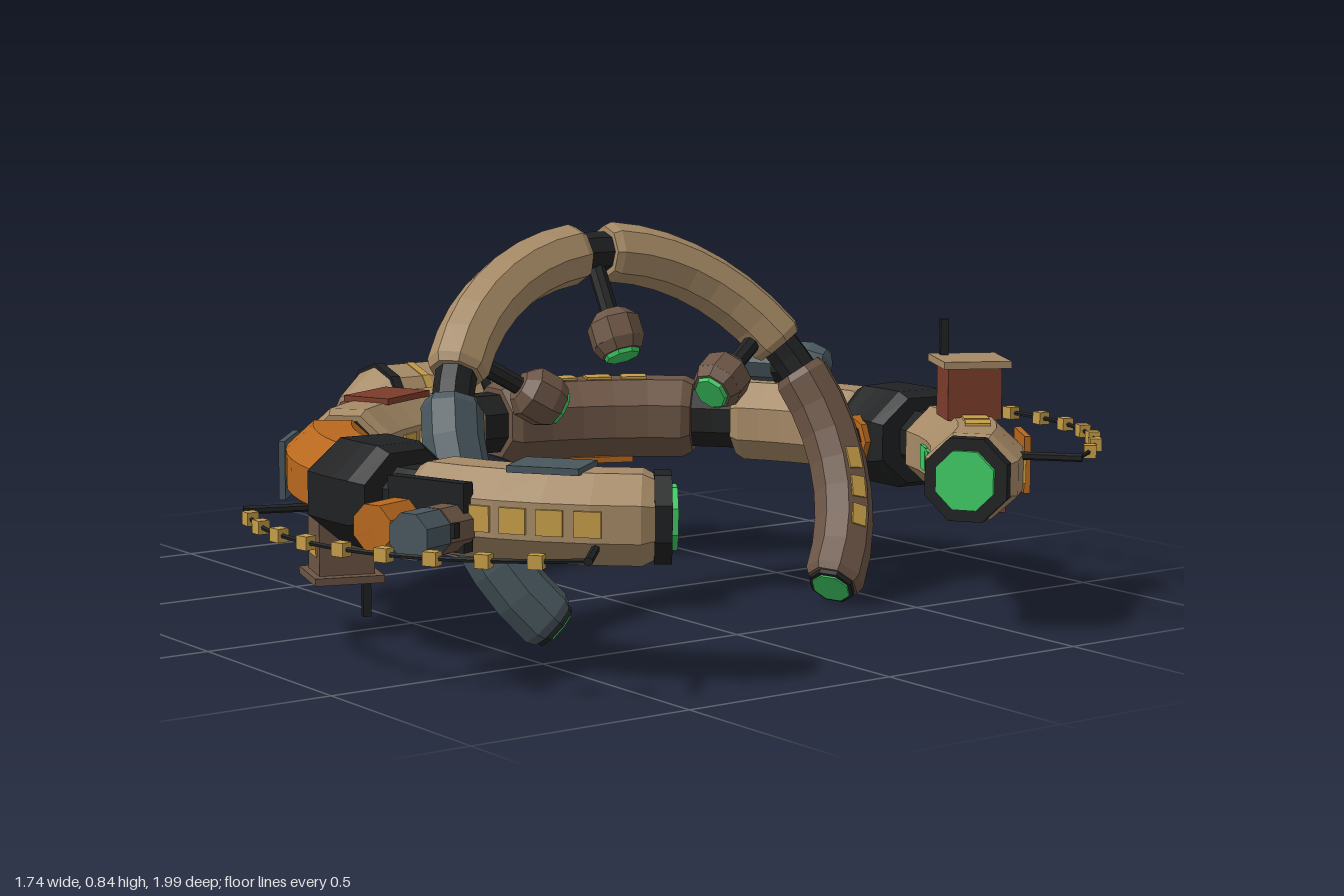
import * as THREE from 'three';

const mat = (name, color) => {
  const m = new THREE.MeshStandardMaterial({ color, flatShading: true });
  m.name = name;
  return m;
};
const tan = mat('tan', 0xa68a66), brown = mat('brown', 0x6c5545), orange = mat('orange', 0xb8681e);
const black = mat('black', 0x202122), slate = mat('slate', 0x48575e), rust = mat('rust', 0x7c3c2b);
const gold = mat('gold', 0xc69d48), green = mat('green', 0x3ecb64);

const rad = THREE.MathUtils.degToRad;
const polar = (deg, r, h = 0) => new THREE.Vector3(r * Math.cos(rad(deg)), r * Math.sin(rad(deg)), h);

function add(parent, name, geo, material, x = 0, y = 0, z = 0) {
  const m = new THREE.Mesh(geo, material);
  m.name = name;
  m.position.set(x, y, z);
  parent.add(m);
  return m;
}
const box = (x, y, z) => new THREE.BoxGeometry(x, y, z);

// Frame at an angle on a ring: local x is outward, y runs along the ring, z is the ring's normal
function sector(parent, name, deg) {
  const g = new THREE.Group();
  g.name = name;
  g.rotation.z = rad(deg);
  parent.add(g);
  return g;
}
const place = (parent, name, deg, r, h, geo, material) =>
  add(sector(parent, name + 'Mount', deg), name, geo, material, r, 0, h);

// Straight rod between two points
function rod(parent, name, a, b, r, material) {
  const m = add(parent, name, new THREE.CylinderGeometry(r, r, a.distanceTo(b), 6), material);
  m.position.copy(a).lerp(b, 0.5);
  m.quaternion.setFromUnitVectors(new THREE.Vector3(0, 1, 0), b.clone().sub(a).normalize());
}

// Curved eight-sided hull section with slightly tapered ends
function arc(R, a0, a1, rr, rn, taper = 0.87, bevel = 2, steps = 5) {
  const stations = [[a0, taper]];
  for (let i = 0; i <= steps; i++) stations.push([a0 + bevel + (a1 - a0 - 2 * bevel) * i / steps, 1]);
  stations.push([a1, taper]);
  const pts = stations.map(([a, s]) => Array.from({ length: 8 }, (_, k) => {
    const p = rad((k + 0.5) * 45), c = s / Math.cos(Math.PI / 8);
    return polar(a, R + rr * c * Math.cos(p), rn * c * Math.sin(p));
  }));
  const out = [], tri = (...v) => v.forEach(p => out.push(p.x, p.y, p.z));
  const last = pts.length - 1;
  for (let k = 0; k < 8; k++) {
    const n = (k + 1) % 8;
    for (let i = 0; i < last; i++) {
      tri(pts[i][k], pts[i + 1][k], pts[i + 1][n]);
      tri(pts[i][k], pts[i + 1][n], pts[i][n]);
    }
    tri(polar(a0, R), pts[0][k], pts[0][n]);
    tri(polar(a1, R), pts[last][n], pts[last][k]);
  }
  const g = new THREE.BufferGeometry();
  g.setAttribute('position', new THREE.Float32BufferAttribute(out, 3));
  g.computeVertexNormals();
  return g;
}

// Eight-sided disc facing along the ring
const disc = (r, t) => new THREE.CylinderGeometry(r, r, t, 8).rotateY(Math.PI / 8);

function buildMainRing(root) {
  const ring = new THREE.Group();
  ring.name = 'mainRing';
  ring.rotation.x = -Math.PI / 2;
  ring.position.set(0.2, 0.34, 0);
  root.add(ring);
  const R = 0.7;

  // Hull sections, joints and hubs
  [[36, 76, tan], [98, 127, tan], [136, 176.5, brown], [183.5, 223, tan], [233, 262, orange], [284, 324, tan]]
    .forEach(([a, b, m]) => add(ring, 'hullSection', arc(R, a, b, 0.1, 0.092), m));
  [[75, 83], [126, 137], [175.5, 184.5], [222, 234], [277, 285]]
    .forEach(([a, b]) => add(ring, 'joint', arc(R, a, b, 0.068, 0.068, 1, 1, 2), black));
  [90, 270].forEach(a => add(ring, 'hub', arc(R, a - 8, a + 8, 0.13, 0.11, 0.88, 2.5, 3), black));

  // Open ends with glowing ports
  [34.8, -34.8].forEach(a => {
    place(ring, 'endCap', a, R, 0, disc(0.096, 0.035), black);
    place(ring, 'endLight', a - Math.sign(a) * 1.8, R, 0, disc(0.068, 0.012), green);
  });

  // Windows on the top, outer and inner faces
  const top = box(0.055, 0.06, 0.009), side = box(0.009, 0.055, 0.052);
  [148, 155, 162, 49.5, 55.5].forEach(a => place(ring, 'topWindow', a, R, 0.093, top, gold));
  [-62, -56.5, -51, -45.5, 47, 66].forEach(a => place(ring, 'outerWindow', a, 0.801, 0, side, gold));
  [196, 203.5, 211].forEach(a => place(ring, 'innerWindow', a, 0.598, 0, side, gold));
  [48, 54, 60, -48, -54, -60].forEach(a => place(ring, 'innerLight', a, 0.597, 0, side, green));

  // Repair plates
  [[204.5, 0.12, 0.17, 1, rust], [-53, 0.12, 0.15, 1, slate], [56, 0.12, 0.15, -1, rust], [155, 0.12, 0.15, -1, orange]]
    .forEach(([a, w, l, s, m]) => place(ring, 'flatPlate', a, R, s * 0.096, box(w, l, 0.014), m));
  [[128, 0.2, 0.15, 0, 0.803, rust], [229, 0.17, 0.13, -0.02, 0.808, slate], [56.5, 0.15, 0.125, 0, 0.806, orange]]
    .forEach(([a, l, hgt, h, r, m]) => place(ring, 'sidePlate', a, r, h, box(0.014, l, hgt), m));

  // Strapped tanks above and below the hull
  [[118, 0.14, 0.05, 0.15, slate], [246, -0.138, 0.045, 0.09, brown]].forEach(([a, h, r, l, m]) => {
    place(ring, 'tank', a, R, h, new THREE.CapsuleGeometry(r, l, 2, 8), m);
    place(ring, 'tankStrap', a, R, h, disc(r + 0.004, 0.025), black);
  });

  // Cabins with slab roofs and masts
  [[62, 1, 0.057, rust], [252, -1, 0.034, brown]].forEach(([a, s, t, m]) => {
    const g = sector(ring, 'cabin', a);
    add(g, 'cabinBody', box(0.12, 0.11, 0.12), m, R, 0, s * 0.145);
    add(g, 'cabinRoof', box(0.15, 0.16, 0.016), s > 0 ? tan : brown, R, 0, s * 0.21);
    add(g, 'mast', box(0.018, 0.018, 0.09), black, 0.655, t, s * 0.252);
    add(g, 'cabinWindow', box(0.009, 0.06, 0.03), gold, R + 0.058, 0, s * 0.15);
  });

  // Cargo clusters
  [-70, 148].forEach(a => {
    const g = sector(ring, 'cargoCluster', a);
    add(g, 'backing', box(0.03, 0.19, 0.14), black, 0.8, 0, 0);
    add(g, 'strap', box(0.018, 0.23, 0.03), black, 0.863, 0, -0.015);
    [[0.858, -0.06, 0.105, orange], [0.832, 0.06, 0.075, brown], [0.91, 0.06, 0.075, slate]].forEach(([r, t, l, m]) =>
      add(g, 'canister', new THREE.CylinderGeometry(0.05, 0.05, l, 8).rotateY(Math.PI / 8).rotateZ(Math.PI / 2), m, r, t, -0.02));
  });

  // Beaded cables on posts
  [[1, 0.035], [-1, -0.05]].forEach(([s, h]) => {
    const at = u => polar(s * (104 - 60 * u), 0.917 + 0.08 * Math.sin(Math.PI * u), h);
    const pts = Array.from({ length: 11 }, (_, i) => at(i / 10));
    add(ring, 'cable', new THREE.TubeGeometry(new THREE.CatmullRomCurve3(pts), 40, 0.005, 5), black);
    for (let i = 1; i < 10; i++) place(ring, 'bead', s * (104 - 6 * i), pts[i].clone().setZ(0).length(), h, box(0.026, 0.03, 0.028), gold);
    rod(ring, 'cablePost', polar(s * 104, 0.925, h), polar(s * 103, 0.79, h), 0.009, black);
    rod(ring, 'cablePost', polar(s * 44, 0.925, h), polar(s * 44.5, 0.79, h), 0.009, black);
  });
}

function buildArch(root) {
  const arch = new THREE.Group();
  arch.name = 'tiltedArch';
  const up = new THREE.Vector3(-0.475, 0.88, 0).normalize(), z = new THREE.Vector3(0, 0, 1);
  arch.quaternion.setFromRotationMatrix(new THREE.Matrix4().makeBasis(z, up, z.clone().cross(up)));
  arch.position.set(0.2, 0.34, 0);
  root.add(arch);
  const R = 0.5;

  // Arch sections and joints
  [[29, 86, tan], [94, 151, tan], [-41, 21, slate], [159, 221, brown]]
    .forEach(([a, b, m]) => add(arch, 'archSection', arc(R, a, b, 0.063, 0.058, 0.87, 2, 7), m));
  [[20, 30], [85, 95], [150, 160]].forEach(([a, b]) => add(arch, 'archJoint', arc(R, a, b, 0.042, 0.04, 1, 1, 2), black));
  [-41.6, 221.6].forEach(a => {
    place(arch, 'archEndRing', a, R, 0, disc(0.052, 0.012), black);
    place(arch, 'archEndLight', a, R, 0, disc(0.044, 0.02), green);
  });

  // Windows
  [112, 121, 130, 139].forEach(a => place(arch, 'archWindow', a, 0.563, 0, box(0.009, 0.055, 0.035), gold));
  [187, 195, 203].forEach(a => place(arch, 'archWindow', a, R, -0.058, box(0.035, 0.05, 0.009), gold));

  // Lamp pods hanging inside the arch
  [35, 90, 145].forEach(a => {
    const g = sector(arch, 'lampPod', a);
    const part = (name, r0, r1, l, x, m) =>
      add(g, name, new THREE.CylinderGeometry(r0, r1, l, 8).rotateZ(-Math.PI / 2), m, x, 0, 0);
    part('podStem', 0.02, 0.02, 0.13, 0.4, black);
    part('podTop', 0.035, 0.06, 0.025, 0.342, brown);
    part('podBody', 0.06, 0.06, 0.05, 0.305, brown);
    part('podRim', 0.06, 0.047, 0.025, 0.268, brown);
    part('podLight', 0.042, 0.038, 0.012, 0.252, green);
  });
}

function buildBarrel(root) {
  const g = new THREE.Group();
  g.name = 'rearBarrel';
  g.position.set(-0.747, 0.34, 0);
  g.rotation.x = Math.PI / 2;
  root.add(g);
  const profile = [[0, -0.21], [0.058, -0.21], [0.12, -0.13], [0.12, 0.13], [0.058, 0.21], [0, 0.21]];
  const lathe = new THREE.LatheGeometry(profile.map(p => new THREE.Vector2(...p)), 10);
  add(g, 'barrelBody', lathe, tan);
  const band = (name, r, l, y, m) => add(g, name, new THREE.CylinderGeometry(r, r, l, 10), m, 0, y, 0);
  [-1, 1].forEach(s => {
    band('barrelHoop', 0.126, 0.024, s * 0.122, black);
    band('barrelStripe', 0.122, 0.02, s * 0.035, gold);
    band('barrelEnd', 0.045, 0.008, s * 0.21, brown);
    add(g, 'barrelBracket', box(0.13, 0.045, 0.05), black, 0.16, s * 0.11, 0);
  });
}

export function createModel() {
  const root = new THREE.Group();
  root.name = 'ringStation';
  buildMainRing(root);
  buildArch(root);
  buildBarrel(root);
  // Pivots joining the arch to the hubs
  [-1, 1].forEach(s => {
    add(root, 'pivot', new THREE.CylinderGeometry(0.055, 0.055, 0.04, 8).rotateX(Math.PI / 2), orange, 0.2, 0.34, s * 0.572);
    add(root, 'pivotPin', new THREE.CylinderGeometry(0.04, 0.04, 0.1, 8).rotateX(Math.PI / 2), black, 0.2, 0.34, s * 0.55);
  });
  return root;
}
